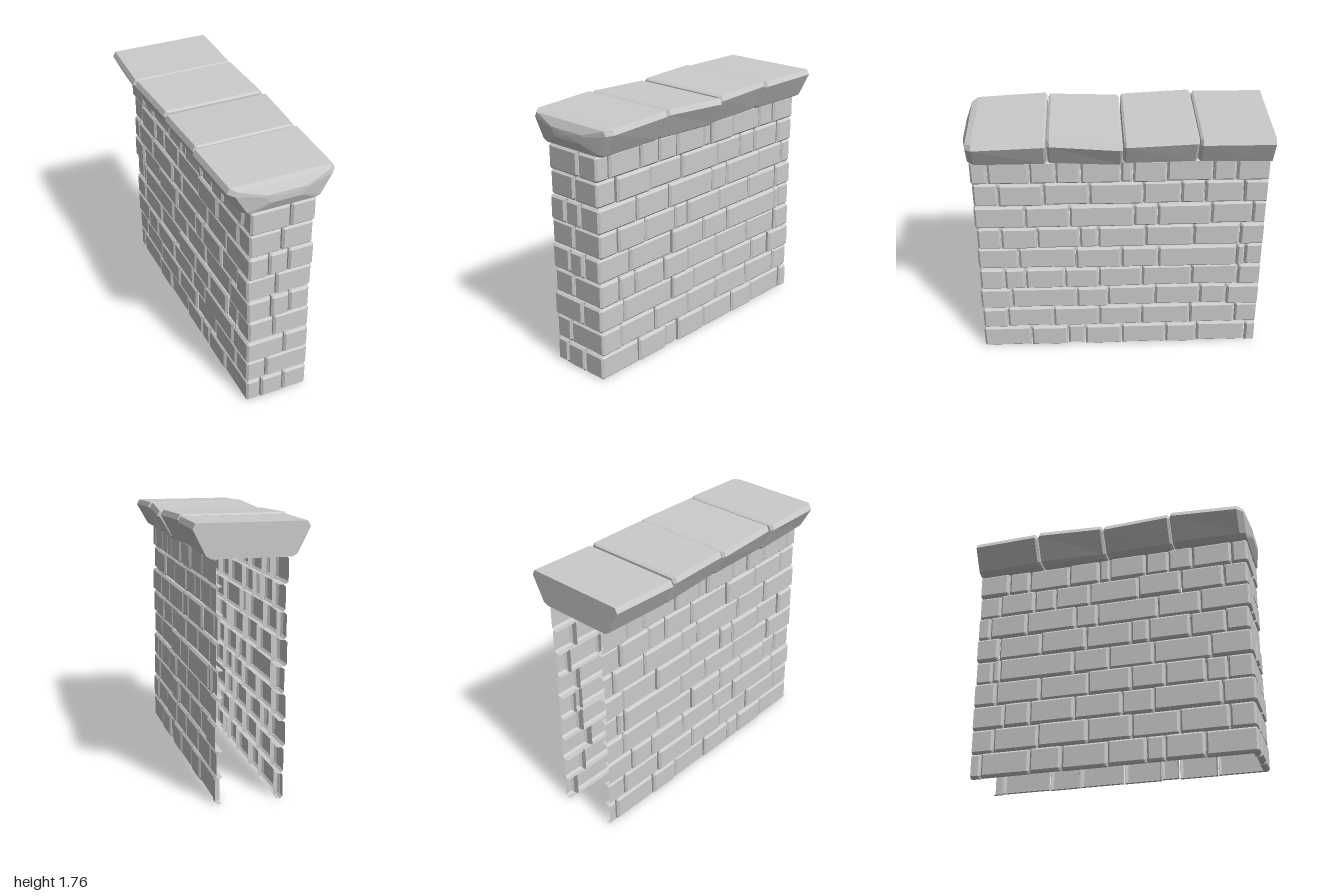
import * as THREE from 'three';

const material = new THREE.MeshStandardMaterial({ color: 0xcccccc, flatShading: true, side: THREE.DoubleSide });
const ROW = 0.172, GAP = 0.004, BEVEL = 0.014, DEPTH = 0.04;

// Joints per course, bottom to top: side positions (z, front to back) and front positions (x)
const courses = [
  { side: [0.625, 0.36, 0.235, -0.03, -0.35, -0.575, -0.93], front: [-0.115, 0.05] },
  { side: [0.79, 0.46, 0.135, -0.17, -0.52, -0.845], front: [-0.08] },
  { side: [0.75, 0.29, 0.07, -0.265, -0.585, -0.775], front: [0.045] },
  { side: [0.79, 0.645, 0.37, 0.135, -0.17, -0.52, -0.845], front: [-0.035] },
  { side: [0.685, 0.29, -0.025, -0.28, -0.825, -0.885], front: [-0.06, 0.07] },
  { side: [0.795, 0.55, 0.26, 0.135, -0.19, -0.52, -0.84], front: [-0.025] },
  { side: [0.625, 0.325, -0.11, -0.27, -0.635, -0.915], front: [-0.085, 0.05] },
  { side: [0.795, 0.495, 0.19, -0.17, -0.425, -0.585, -0.845], front: [0] },
  { side: [0.855, 0.58, 0.41, 0.245, -0.02, -0.1, -0.325, -0.63, -0.785], front: [0.05] },
];

let seed = 7;
function random() {
  seed = (seed * 16807) % 2147483647;
  return seed / 2147483647;
}

// Mesh from a grid of points: columns run along the surface, rows across it
function gridMesh(name, columns) {
  const rows = columns[0].length, index = [];
  for (let i = 0; i < columns.length - 1; i++) {
    for (let j = 0; j < rows - 1; j++) {
      const a = i * rows + j, b = a + rows;
      index.push(a, b, b + 1, a, b + 1, a + 1);
    }
  }
  const geometry = new THREE.BufferGeometry();
  geometry.setAttribute('position', new THREE.Float32BufferAttribute(columns.flat(2), 3));
  geometry.setIndex(index);
  geometry.computeVertexNormals();
  const mesh = new THREE.Mesh(geometry, material);
  mesh.name = name;
  return mesh;
}

// Hollow bevelled brick following the wall from one joint to the next.
// Faces: -1 and 1 are the sides, 0 is the front; a brick may turn one corner.
// X and Z are the outer planes; an end at z = -1 is cut off plainly.
function brick(start, end, X, Z, y0, y1) {
  const at = ([face, p], shift) => {
    const q = p + (face === 1 ? -shift : shift);
    return (o) => (face === 0 ? [q, Z - o] : [face * (X - o), q]);
  };
  const endStations = (e, dir) => (e[0] !== 0 && e[1] === -1
    ? [[0, at(e, 0)]]
    : [[DEPTH, at(e, dir * GAP)], [BEVEL, at(e, dir * GAP)], [0, at(e, dir * (GAP + BEVEL))]]);

  const corner = [];
  if (start[0] !== end[0]) {
    const s = start[0] || end[0];
    corner.push(
      [0, (o) => [s * (X - o), Z - Math.max(BEVEL, o)]],
      [0, (o) => [s * (X - Math.max(BEVEL, o)), Z - o]],
    );
    if (s > 0) corner.reverse();
  }
  const stations = [...endStations(start, 1), ...corner, ...endStations(end, -1).reverse()];
  const levels = [
    [y0, DEPTH], [y0, BEVEL], [y0 + BEVEL, 0],
    [y1 - BEVEL, 0], [y1, BEVEL], [y1, DEPTH],
  ];
  return gridMesh('brick', stations.map(([inset, point]) => levels.map(([y, levelInset]) => {
    const [x, z] = point(Math.max(inset, levelInset));
    return [x, y, z];
  })));
}

// One U-shaped course: left side, front and right side
function course({ side, front }, i) {
  const group = new THREE.Group();
  group.name = 'brickCourse';
  const joints = [
    ...[-1, ...[...side].reverse()].map((z) => [-1, z]),
    ...front.map((x) => [0, x]),
    ...[...side, -1].map((z) => [1, z]),
  ];
  const Z = i % 2 ? 0.962 : 0.971;
  for (let k = 0; k < joints.length - 1; k++) {
    const X = 0.212 + 0.018 * random();
    group.add(brick(joints[k], joints[k + 1], X, Z - 0.008 * random(), i * ROW + GAP / 2, (i + 1) * ROW - GAP / 2));
  }
  return group;
}

// Coping stones; left/right half widths and top height as [back, front]
const stones = [
  { z: [-1, -0.524], left: [0.365, 0.385], right: [0.365, 0.352], top: [1.757, 1.752] },
  { z: [-0.516, -0.036], left: [0.385, 0.36], right: [0.347, 0.362], top: [1.762, 1.75] },
  { z: [-0.028, 0.452], left: [0.365, 0.365], right: [0.382, 0.342], top: [1.74, 1.757] },
  { z: [0.46, 1], left: [0.382, 0.36], right: [0.352, 0.352], top: [1.757, 1.738] },
];

function copingStone({ z: [z0, z1], left, right, top }) {
  const b = 0.015;
  // Rings along the stone: z, scale in x, scale in y
  const rings = z0 === -1 ? [[z0, 0, 0], [z0, 1, 1]] : [[z0, 0, 0], [z0, 0.95, 0.9], [z0 + b, 1, 1]];
  if (z1 === 1) rings.push([0.93, 1, 1], [0.97, 0.9, 0.88], [0.998, 0.4, 0.3], [1, 0, 0]);
  else rings.push([z1 - b, 1, 1], [z1, 0.95, 0.9], [z1, 0, 0]);

  const centre = 1.65;
  const section = (z) => {
    const t = (z - z0) / (z1 - z0), mix = ([p, q]) => p + (q - p) * t;
    const h = mix(top);
    const half = (w) => [[w - 0.115, 1.542], [w - 0.082, 1.56], [w, h - 0.035], [w - 0.018, h]];
    return [...half(mix(right)), ...half(mix(left)).reverse().map(([x, y]) => [-x, y])];
  };
  const loops = rings.map(([z, sx, sy]) => section(z).map(([x, y]) => [x * sx, centre + (y - centre) * sy, z]));
  const columns = loops[0].map((_, j) => loops.map((loop) => loop[j]));
  columns.push(columns[0]);
  return gridMesh('copingStone', columns);
}

export function createModel() {
  const model = new THREE.Group();
  model.name = 'brickWall';
  courses.forEach((c, i) => model.add(course(c, i)));

  const coping = new THREE.Group();
  coping.name = 'coping';
  stones.forEach((s) => coping.add(copingStone(s)));
  model.add(coping);
  return model;
}
